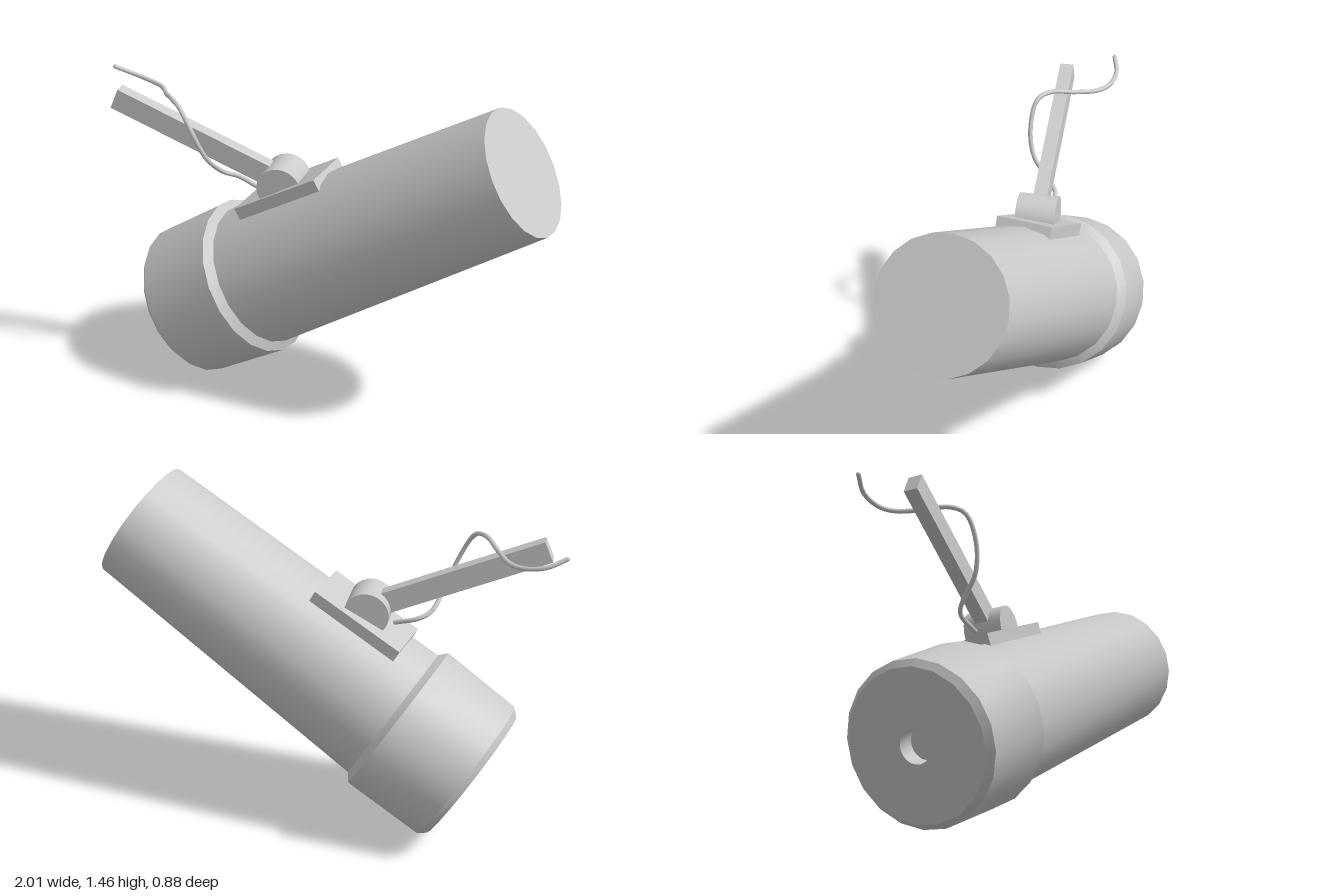
import * as THREE from 'three';
import { toCreasedNormals } from 'three/addons/utils/BufferGeometryUtils.js';

const V = (x, y, z) => new THREE.Vector3(x, y, z);

export function createModel() {
  const model = new THREE.Group();
  model.name = 'spotlight';
  const material = new THREE.MeshStandardMaterial({ color: 0xcccccc });

  const add = (parent, name, geometry) => {
    const mesh = new THREE.Mesh(geometry, material);
    mesh.name = name;
    parent.add(mesh);
    return mesh;
  };

  // Tilted lamp frame: local y runs along the barrel, local z points to its upper side
  const base = V(-0.654, 0.275, -0.11);
  const tip = V(0.85, 1.227, 0.17);
  const axis = tip.clone().sub(base);
  const length = axis.length();
  axis.normalize();
  const upper = V(0, 1, 0).addScaledVector(axis, -axis.y).normalize();
  const side = axis.clone().cross(upper);
  const lamp = new THREE.Group();
  lamp.name = 'lamp';
  lamp.position.copy(base);
  lamp.quaternion.setFromRotationMatrix(new THREE.Matrix4().makeBasis(side, axis, upper));
  model.add(lamp);

  const lathe = (points) => toCreasedNormals(
    new THREE.LatheGeometry(points.map(([r, y]) => new THREE.Vector2(r, y)), 20), 0.6);

  // Wide rear collar with chamfered rims and a cable hole in its back
  add(lamp, 'collar', lathe([
    [0, 0.08], [0.072, 0.08], [0.072, 0], [0.315, 0], [0.342, 0.03],
    [0.352, 0.395], [0.317, 0.425],
  ]));

  // Tapered barrel with a flat front cap
  add(lamp, 'barrel', lathe([[0.317, 0.425], [0.273, length], [0, length]]));

  // Mounting plate lying on the tapered barrel
  const plate = add(lamp, 'mountingPlate', new THREE.BoxGeometry(0.245, 0.43, 0.055));
  plate.position.set(0, 0.774, 0.302);
  plate.rotation.x = -0.04;

  // Hinge drum, its axle running front to back
  const drum = add(model, 'hingeDrum', toCreasedNormals(
    new THREE.CylinderGeometry(0.096, 0.096, 0.17, 24), 0.6));
  drum.rotation.x = Math.PI / 2;
  drum.position.set(-0.185, 0.975, -0.01);

  // Support arm rising from the hinge
  const armStart = V(-0.24, 1.005, -0.011);
  const armEnd = V(-0.92, 1.292, -0.011);
  const reach = armEnd.clone().sub(armStart);
  const arm = add(model, 'supportArm', new THREE.BoxGeometry(reach.length(), 0.093, 0.06));
  arm.position.copy(armStart).lerp(armEnd, 0.5);
  arm.rotation.z = Math.atan2(reach.y, reach.x);

  // Loose cable winding around the arm
  const path = new THREE.CatmullRomCurve3([
    V(-1, 1.34, -0.215), V(-0.92, 1.305, -0.235), V(-0.83, 1.287, -0.215),
    V(-0.77, 1.287, -0.17), V(-0.72, 1.297, -0.08), V(-0.66, 1.32, 0.02),
    V(-0.61, 1.305, 0.07), V(-0.55, 1.2, 0.09), V(-0.5, 1.08, 0.065),
    V(-0.45, 0.985, -0.02), V(-0.4, 0.96, -0.05), V(-0.3, 0.925, -0.03),
  ]);
  add(model, 'cable', new THREE.TubeGeometry(path, 48, 0.01, 8));
  for (const t of [0, 1]) {
    const cap = add(model, 'cableEnd', new THREE.SphereGeometry(0.01, 8, 6));
    cap.position.copy(path.getPoint(t));
  }

  return model;
}
